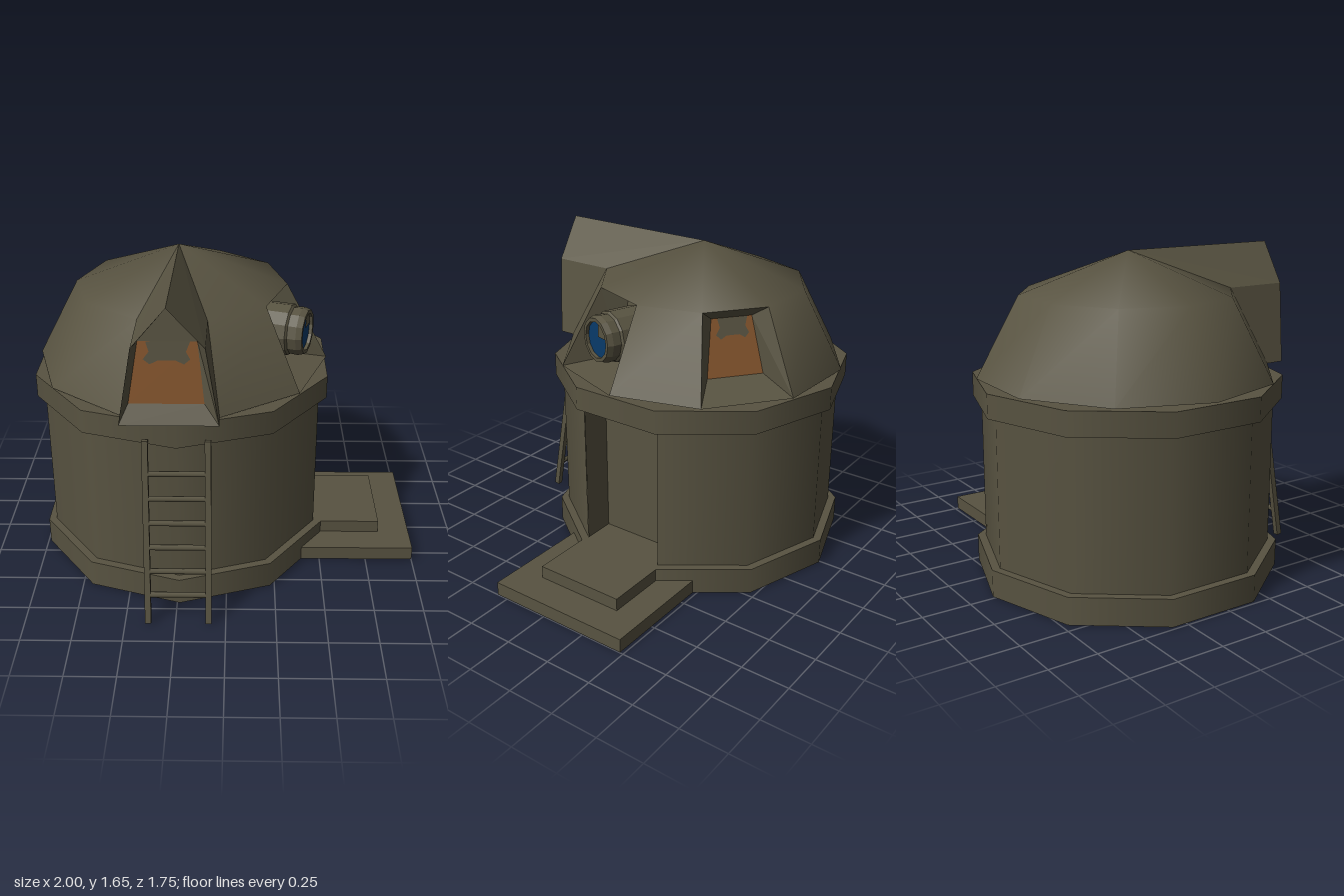
import * as THREE from 'three';

const CX = -0.24, CZ = -0.085; // dome axis
const DX = -0.237, DZ = -0.084; // drum axis

function mat(name, color) {
  const m = new THREE.MeshStandardMaterial({ color, side: THREE.DoubleSide });
  m.name = name;
  return m;
}

export function createModel() {
  const stone = mat('olive stone', 0x585341);
  const amber = mat('amber panel', 0x85552d);
  const glass = mat('blue glass', 0x083a6a);
  const root = new THREE.Group();
  const V = (x, y, z) => new THREE.Vector3(x, y, z);

  const add = (name, geo, material, parent = root) => {
    const m = new THREE.Mesh(geo, material);
    m.name = name;
    parent.add(m);
    return m;
  };

  // Flat-shaded polygons, each fanned from its first corner
  const polys = (name, list, material, parent = root) => {
    const pts = [];
    for (const p of list)
      for (let i = 1; i < p.length - 1; i++) pts.push(p[0], p[i], p[i + 1]);
    const g = new THREE.BufferGeometry().setFromPoints(pts);
    g.computeVertexNormals();
    return add(name, g, material, parent);
  };

  // Ten-sided base, wall with a doorway gap, and upper band
  const R = 0.788, WALL = 0.745;
  const drum = (name, r, y0, y1, start = 0, len = Math.PI * 2, seg = 10) =>
    add(name, new THREE.CylinderGeometry(r, r, y1 - y0, seg, 1, true, start, len), stone)
      .position.set(DX, (y0 + y1) / 2, DZ);
  drum('base', R, 0, 0.14);
  drum('wall', WALL, 0.14, 0.905, Math.PI * 0.6, Math.PI * 1.8, 9);
  drum('upperBand', R, 0.905, 1.027);

  // Floor plates, drawn in plan as [x, z] outlines
  const plan = (Type, pts) => new Type(pts.map(([x, z]) => new THREE.Vector2(x, -z)));
  const decagon = (r) => Array.from({ length: 10 }, (_, k) =>
    [DX + r * Math.sin(k * Math.PI / 5), DZ + r * Math.cos(k * Math.PI / 5)]);
  const plate = (name, y, hole) => {
    const shape = plan(THREE.Shape, decagon(R));
    if (hole) shape.holes.push(plan(THREE.Path, hole));
    add(name, new THREE.ShapeGeometry(shape).rotateX(-Math.PI / 2), stone).position.y = y;
  };
  const dz = 0.23, xo = 0.47, xi = 0.30, yb = 0.14, yt = 0.905;
  const notched = decagon(WALL);
  notched.splice(3, 0, [xi, DZ + dz], [xi, DZ - dz]);
  plate('baseUnderside', 0);
  plate('baseLedge', yb, notched);
  plate('bandSoffit', yt, notched);
  plate('bandTop', 1.027);

  // Doorway recess
  const upright = (xa, za, xb, zb) => [V(xa, yb, za), V(xb, yb, zb), V(xb, yt, zb), V(xa, yt, za)];
  polys('doorRecess', [
    upright(xo, DZ + dz, xi, DZ + dz),
    upright(xi, DZ + dz, xi, DZ - dz),
    upright(xi, DZ - dz, xo, DZ - dz),
  ], stone);

  // Entrance steps, the lower one hollow beneath the upper one
  const rect = (Type, x0, x1, z0, z1) => plan(Type, [[x0, z0], [x1, z0], [x1, z1], [x0, z1]]);
  const slab = (name, shape, y0, y1) => {
    const g = new THREE.ExtrudeGeometry(shape, { depth: y1 - y0, bevelEnabled: false });
    add(name, g.rotateX(-Math.PI / 2), stone).position.y = y0;
  };
  const lower = rect(THREE.Shape, 0.39, 1.0, -0.483, 0.313);
  lower.holes.push(rect(THREE.Path, 0.48, 0.828, -0.328, 0.155));
  slab('lowerStep', lower, 0, 0.073);
  slab('upperStep', rect(THREE.Shape, 0.508, 0.83, -0.33, 0.157), 0.07, 0.14);

  // Dome: two rings and an apex, with openings for the window, dormer and telescope
  const ringPoint = (k, r, y) => {
    const a = THREE.MathUtils.degToRad(-2 + 36 * k);
    return V(CX + r * Math.cos(a), y, CZ - r * Math.sin(a));
  };
  const low = [], high = [];
  for (let k = 0; k < 10; k++) {
    low.push(ringPoint(k, 0.76, 1.04));
    high.push(ringPoint(k, 0.545, 1.445));
  }
  const apex = V(-0.25, 1.65, CZ);
  const WINDOW = 1, DORMER = 7, SCOPE = 9;
  const index = [];
  for (let k = 0; k < 10; k++) {
    const n = (k + 1) % 10;
    if (k !== DORMER) index.push(10 + k, 10 + n, 20);
    if (![WINDOW, DORMER, SCOPE].includes(k)) index.push(k, n, 10 + n, k, 10 + n, 10 + k);
  }
  const domeGeo = new THREE.BufferGeometry().setFromPoints([...low, ...high, apex]);
  domeGeo.setIndex(index);
  domeGeo.computeVertexNormals();
  add('dome', domeGeo, stone);
  polys('domeFloor', [low.slice().reverse()], stone);

  // Bevelled reveal joining an outer outline to an inner one
  const reveal = (name, outer, inner, parent) => polys(name, outer.map((p, i) => {
    const j = (i + 1) % outer.length;
    return [p, outer[j], inner[j], inner[i]];
  }), stone, parent);

  // Grey patch on an amber quad [bottom left, bottom right, top right, top left]
  const patchUV = [[0.5, 0.85], [0.14, 1], [0.21, 0.84], [0.13, 0.72], [0.24, 0.64], [0.36, 0.7],
    [0.64, 0.7], [0.76, 0.64], [0.86, 0.72], [0.8, 0.84], [0.88, 1], [0.14, 1]];
  const patch = (q, parent) => {
    const n = q[1].clone().sub(q[0]).cross(q[3].clone().sub(q[0])).normalize().multiplyScalar(0.004);
    polys('panelPatch', [patchUV.map(([u, v]) =>
      q[0].clone().lerp(q[1], u).lerp(q[3].clone().lerp(q[2], u), v).add(n))], stone, parent);
  };

  // Recessed dome facet, hb and ht are the half widths of its inner panel
  const recess = (name, k, yB, aB, hb, yT, aT, ht, material) => {
    const g = new THREE.Group();
    g.name = name;
    root.add(g);
    const a = THREE.MathUtils.degToRad(16 + 36 * k);
    const at = (d, h, y) => V(
      CX + d * Math.cos(a) - h * Math.sin(a), y, CZ - d * Math.sin(a) - h * Math.cos(a));
    const n = (k + 1) % 10;
    const inner = [at(aB, -hb, yB), at(aB, hb, yB), at(aT, ht, yT), at(aT, -ht, yT)];
    reveal(name + 'Reveal', [low[k], low[n], high[n], high[k]], inner, g);
    polys(name + 'Panel', [inner], material, g);
    if (material === amber) patch(inner, g);
  };
  recess('rearWindow', WINDOW, 1.11, 0.54, 0.145, 1.39, 0.46, 0.105, amber);
  recess('telescopeBay', SCOPE, 1.08, 0.43, 0.125, 1.37, 0.39, 0.115, stone);

  // Gabled front dormer
  const dormer = new THREE.Group();
  dormer.name = 'frontDormer';
  root.add(dormer);
  const bl = low[DORMER], br = low[DORMER + 1], sl = high[DORMER], sr = high[DORMER + 1];
  const peak = V(-0.26, 1.65, 0.795);
  const [fbl, fbr] = [bl, br].map((p) => V(p.x, p.y, 0.73));
  const [fsl, fsr] = [sl, sr].map((p) => V(p.x, p.y, 0.765));
  polys('dormerShell', [
    [apex, sl, fsl, peak], [apex, peak, fsr, sr],
    [sl, bl, fbl, fsl], [sr, fsr, fbr, br],
    [bl, br, fbr, fbl],
  ], stone, dormer);
  const panel = [V(-0.455, 1.13, 0.68), V(-0.10, 1.13, 0.68), V(-0.13, 1.43, 0.645), V(-0.405, 1.43, 0.645)];
  const innerPeak = V(-0.26, 1.6, 0.63);
  reveal('dormerReveal', [fbl, fbr, fsr, peak, fsl],
    [panel[0], panel[1], panel[2], innerPeak, panel[3]], dormer);
  polys('dormerGable', [[panel[3], panel[2], innerPeak]], stone, dormer);
  polys('dormerPanel', [panel], amber, dormer);
  patch(panel, dormer);

  // Telescope pointing out of its bay
  const scope = new THREE.Group();
  scope.name = 'telescope';
  scope.position.set(0.405, 1.255, 0.115);
  scope.rotation.y = THREE.MathUtils.degToRad(71);
  root.add(scope);
  const profile = [[0.133, -0.25], [0.133, -0.085], [0.122, -0.075], [0.124, -0.03],
    [0.114, 0], [0.095, 0], [0.095, -0.03]].map(([r, y]) => new THREE.Vector2(r, y));
  const barrel = new THREE.LatheGeometry(profile, 12).rotateX(Math.PI / 2).toNonIndexed();
  barrel.computeVertexNormals();
  add('barrel', barrel, stone, scope);
  add('lens', new THREE.CircleGeometry(0.097, 12), glass, scope).position.z = -0.018;
  add('lensPatch', new THREE.CircleGeometry(0.078, 4, 0.05, 1.5), stone, scope).position.set(0.005, 0.015, -0.013);

  // Leaning ladder
  const ladder = new THREE.Group();
  ladder.name = 'ladder';
  ladder.position.set(-0.235, 0.47, 0.775);
  ladder.rotation.x = -Math.atan(0.17 / 0.94);
  root.add(ladder);
  for (const s of [-1, 1])
    add('ladderRail', new THREE.BoxGeometry(0.03, 0.955, 0.03), stone, ladder).position.x = s * 0.15;
  for (let i = 0; i < 6; i++) {
    const rung = add('ladderRung', new THREE.CylinderGeometry(0.014, 0.014, 0.28, 6, 1, true), stone, ladder);
    rung.rotation.z = Math.PI / 2;
    rung.position.y = -0.325 + i * 0.127;
  }
  return root;
}
